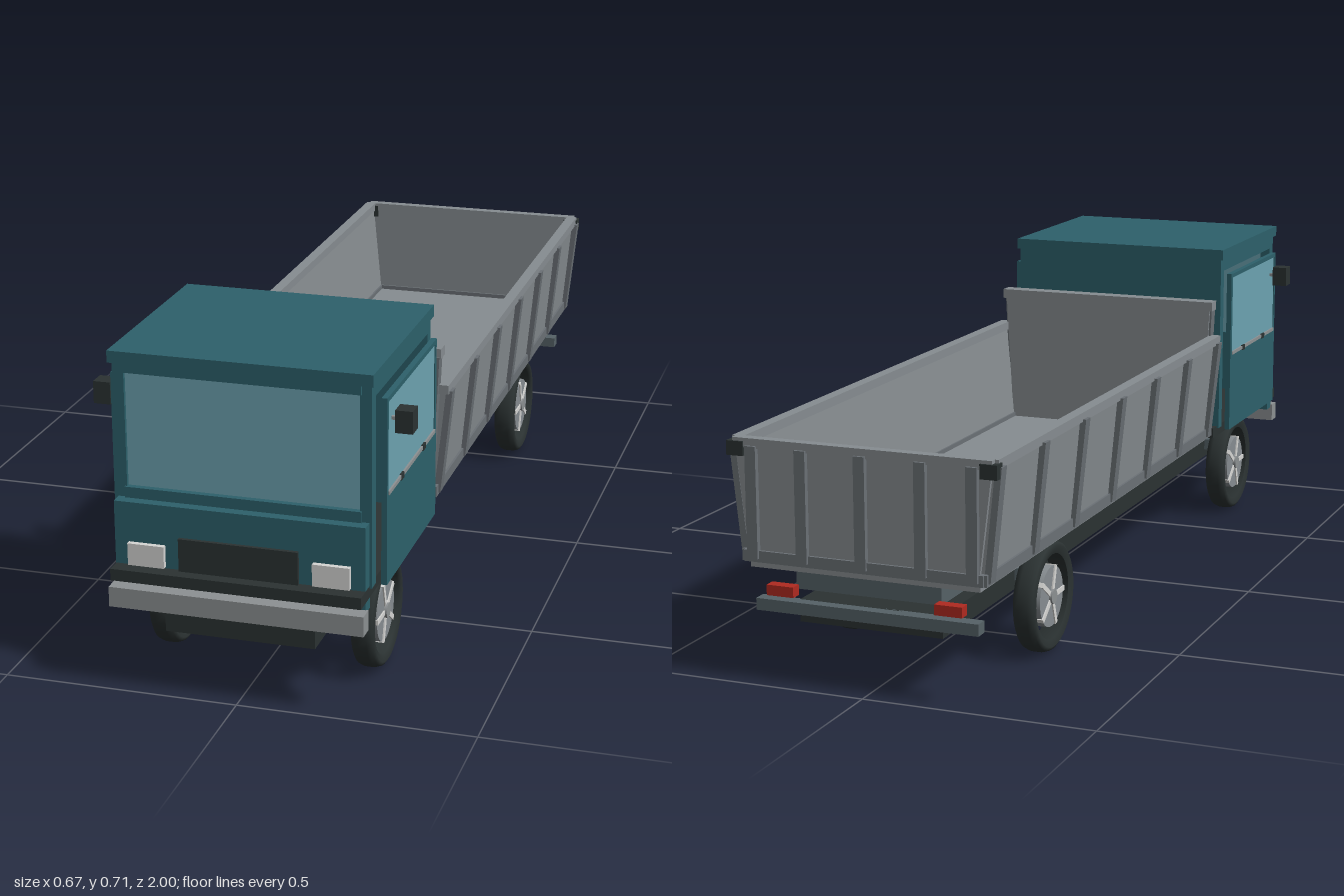
import * as THREE from 'three';

const mat = (name, color) => {
  const m = new THREE.MeshStandardMaterial({ color });
  m.name = name;
  return m;
};

export function createModel() {
  const teal = mat('teal paint', 0x2d616b);
  const glass = mat('window glass', 0x6da3b1);
  const panel = mat('bed panel grey', 0x878d91);
  const rib = mat('bed rib grey', 0x6b7176);
  const steel = mat('bumper steel', 0x8d9193);
  const darkSteel = mat('dark steel', 0x566267);
  const black = mat('black', 0x2b3232);
  const lamp = mat('lamp white', 0xd6d6d4);
  const red = mat('lamp red', 0xb02a20);

  const truck = new THREE.Group();
  truck.name = 'truck';
  const group = (name) => {
    const g = new THREE.Group();
    g.name = name;
    truck.add(g);
    return g;
  };
  const add = (parent, name, geometry, material) => {
    const m = new THREE.Mesh(geometry, material);
    m.name = name;
    parent.add(m);
    return m;
  };
  // Box given by its limits on each axis
  const box = (parent, name, material, x0, x1, y0, y1, z0, z1) => {
    const m = add(parent, name, new THREE.BoxGeometry(x1 - x0, y1 - y0, z1 - z0), material);
    m.position.set((x0 + x1) / 2, (y0 + y1) / 2, (z0 + z1) / 2);
    return m;
  };
  const wide = (parent, name, material, hx, y0, y1, z0, z1) =>
    box(parent, name, material, -hx, hx, y0, y1, z0, z1);
  const pair = (parent, name, material, x0, x1, y0, y1, z0, z1) => {
    box(parent, name + 'Left', material, x0, x1, y0, y1, z0, z1);
    box(parent, name + 'Right', material, -x1, -x0, y0, y1, z0, z1);
  };
  // Prism with an outline in x and y, running from z0 to z1
  const prism = (parent, name, material, pts, z0, z1) => {
    const shape = new THREE.Shape(pts.map((p) => new THREE.Vector2(p[0], p[1])));
    const g = new THREE.ExtrudeGeometry(shape, { depth: z1 - z0, bevelEnabled: false });
    return add(parent, name, g.translate(0, 0, z0), material);
  };

  // Chassis, axles and tipping gear
  const chassis = group('chassis');
  wide(chassis, 'frame', black, 0.158, 0.133, 0.18, -0.955, 0.97);
  wide(chassis, 'subframe', darkSteel, 0.16, 0.205, 0.247, -0.965, 0.41);
  for (const z of [0.73, -0.57]) wide(chassis, 'axle', darkSteel, 0.2, 0.152, 0.179, z - 0.014, z + 0.014);
  const ram = wide(chassis, 'tippingRam', darkSteel, 0.025, -0.012, 0.012, -0.07, 0.07);
  ram.position.set(0, 0.195, 0.32);
  ram.rotation.x = 0.15;
  wide(chassis, 'rearBar', darkSteel, 0.245, 0.155, 0.18, -0.98, -0.95);
  pair(chassis, 'tailLamp', red, 0.155, 0.215, 0.192, 0.214, -0.99, -0.965);

  // Cab shell
  const cab = group('cab');
  wide(cab, 'cabFloor', black, 0.262, 0.245, 0.27, 0.46, 1);
  wide(cab, 'roof', teal, 0.273, 0.69, 0.715, 0.485, 0.95);
  wide(cab, 'backWall', teal, 0.267, 0.265, 0.69, 0.49, 0.515);
  pair(cab, 'frontPillar', teal, 0.243, 0.267, 0.265, 0.69, 0.91, 0.94);
  pair(cab, 'roofBeam', teal, 0.247, 0.267, 0.66, 0.69, 0.5, 0.93);
  wide(cab, 'windscreenHeader', teal, 0.247, 0.67, 0.69, 0.915, 0.945);
  wide(cab, 'windscreenSill', teal, 0.247, 0.4, 0.428, 0.915, 0.945);
  wide(cab, 'windscreen', glass, 0.245, 0.425, 0.675, 0.924, 0.932);
  wide(cab, 'frontPanel', teal, 0.262, 0.222, 0.405, 0.935, 0.967);
  wide(cab, 'grille', black, 0.125, 0.27, 0.34, 0.965, 0.975);
  pair(cab, 'headlamp', lamp, 0.155, 0.232, 0.273, 0.32, 0.965, 0.978);
  wide(cab, 'bumper', steel, 0.267, 0.187, 0.23, 0.965, 1);

  // Doors with windows, belt trim, handles and mirrors
  pair(cab, 'doorPanel', teal, 0.275, 0.287, 0.258, 0.452, 0.515, 0.9);
  pair(cab, 'doorRearPost', teal, 0.275, 0.287, 0.452, 0.652, 0.515, 0.527);
  pair(cab, 'doorFrontPost', teal, 0.275, 0.287, 0.452, 0.652, 0.89, 0.9);
  pair(cab, 'doorTop', teal, 0.275, 0.287, 0.642, 0.652, 0.515, 0.9);
  pair(cab, 'doorWindow', glass, 0.277, 0.285, 0.452, 0.642, 0.527, 0.89);
  pair(cab, 'beltTrim', steel, 0.28, 0.289, 0.447, 0.455, 0.527, 0.89);
  for (const z of [0.62, 0.79]) pair(cab, 'trimClip', black, 0.285, 0.29, 0.444, 0.456, z - 0.01, z + 0.01);
  pair(cab, 'mirrorArm', steel, 0.285, 0.3, 0.596, 0.603, 0.856, 0.864);
  pair(cab, 'mirror', black, 0.297, 0.333, 0.575, 0.622, 0.842, 0.88);

  // Tipping bed: floor, leaning sides, ribs and rails
  const bed = group('bed');
  wide(bed, 'bedFloor', panel, 0.252, 0.247, 0.274, -0.985, 0.425);
  for (const s of [1, -1]) {
    const lean = (name, material, xBottom, xTop, t, y0, y1, z0, z1) =>
      prism(bed, name, material, [
        [s * xBottom, y0], [s * (xBottom + t), y0], [s * (xTop + t), y1], [s * xTop, y1],
      ], z0, z1);
    lean('sideWall', panel, 0.247, 0.27, 0.014, 0.262, 0.505, -0.98, 0.41);
    for (let i = 0; i < 7; i++) {
      const z = 0.4 - i * 0.228;
      lean('sideRib', rib, 0.258, 0.283, 0.014, 0.265, 0.5, z - 0.013, z + 0.013);
    }
    const low = [0.245, 0.268].map((x) => x * s).sort((a, b) => a - b);
    box(bed, 'sideBottomRail', rib, ...low, 0.26, 0.284, -0.99, 0.43);
    const top = [0.265, 0.29].map((x) => x * s).sort((a, b) => a - b);
    box(bed, 'sideTopRail', panel, ...top, 0.495, 0.515, -0.98, 0.42);
  }

  // Headboard with end posts and cap
  prism(bed, 'headboard', panel, [[-0.25, 0.265], [0.25, 0.265], [0.268, 0.585], [-0.268, 0.585]], 0.4, 0.418);
  for (const s of [1, -1]) {
    prism(bed, 'headboardPost', rib, [
      [s * 0.23, 0.258], [s * 0.257, 0.258], [s * 0.272, 0.58], [s * 0.245, 0.58],
    ], 0.405, 0.432);
  }
  wide(bed, 'headboardCap', panel, 0.275, 0.577, 0.599, 0.395, 0.43);

  // Tailgate with ribs, rails and corner latches
  prism(bed, 'tailgate', panel, [[-0.25, 0.265], [0.25, 0.265], [0.28, 0.505], [-0.28, 0.505]], -0.988, -0.975);
  wide(bed, 'tailgateBottomRail', rib, 0.262, 0.26, 0.284, -0.994, -0.97);
  wide(bed, 'tailgateTopRail', panel, 0.282, 0.495, 0.515, -0.994, -0.972);
  for (const x of [-0.24, -0.13, 0, 0.13, 0.24])
    box(bed, 'tailgateRib', rib, x - 0.012, x + 0.012, 0.268, 0.5, -1, -0.98);
  pair(bed, 'tailgateLatch', black, 0.257, 0.294, 0.478, 0.508, -0.998, -0.97);

  // Wheels: tyre ring by lathe, hub disc and five spokes
  const R = 0.12;
  const tyre = [
    [0.092, -0.02], [0.108, -0.026], [0.116, -0.021], [R, -0.01],
    [R, 0.01], [0.116, 0.021], [0.108, 0.026], [0.092, 0.02], [0.092, -0.02],
  ].map((p) => new THREE.Vector2(p[0], p[1]));
  const tyreGeometry = new THREE.LatheGeometry(tyre, 40).rotateZ(-Math.PI / 2);
  const hubGeometry = new THREE.CylinderGeometry(0.066, 0.066, 0.036, 32).rotateZ(Math.PI / 2);
  const capGeometry = new THREE.CylinderGeometry(0.016, 0.016, 0.05, 16).rotateZ(Math.PI / 2);
  const spokeGeometry = new THREE.BoxGeometry(0.042, 0.064, 0.011).translate(0, 0.036, 0);
  for (const z of [0.73, -0.57]) {
    for (const s of [1, -1]) {
      const wheel = group(z > 0 ? 'frontWheel' : 'rearWheel');
      wheel.position.set(s * 0.219, R + 0.002, z);
      add(wheel, 'tyre', tyreGeometry, black);
      add(wheel, 'hub', hubGeometry, panel);
      add(wheel, 'hubCap', capGeometry, steel);
      for (let i = 0; i < 5; i++)
        add(wheel, 'spoke', spokeGeometry, lamp).rotation.x = (i * Math.PI * 2) / 5 + 0.3;
    }
  }
  return truck;
}
